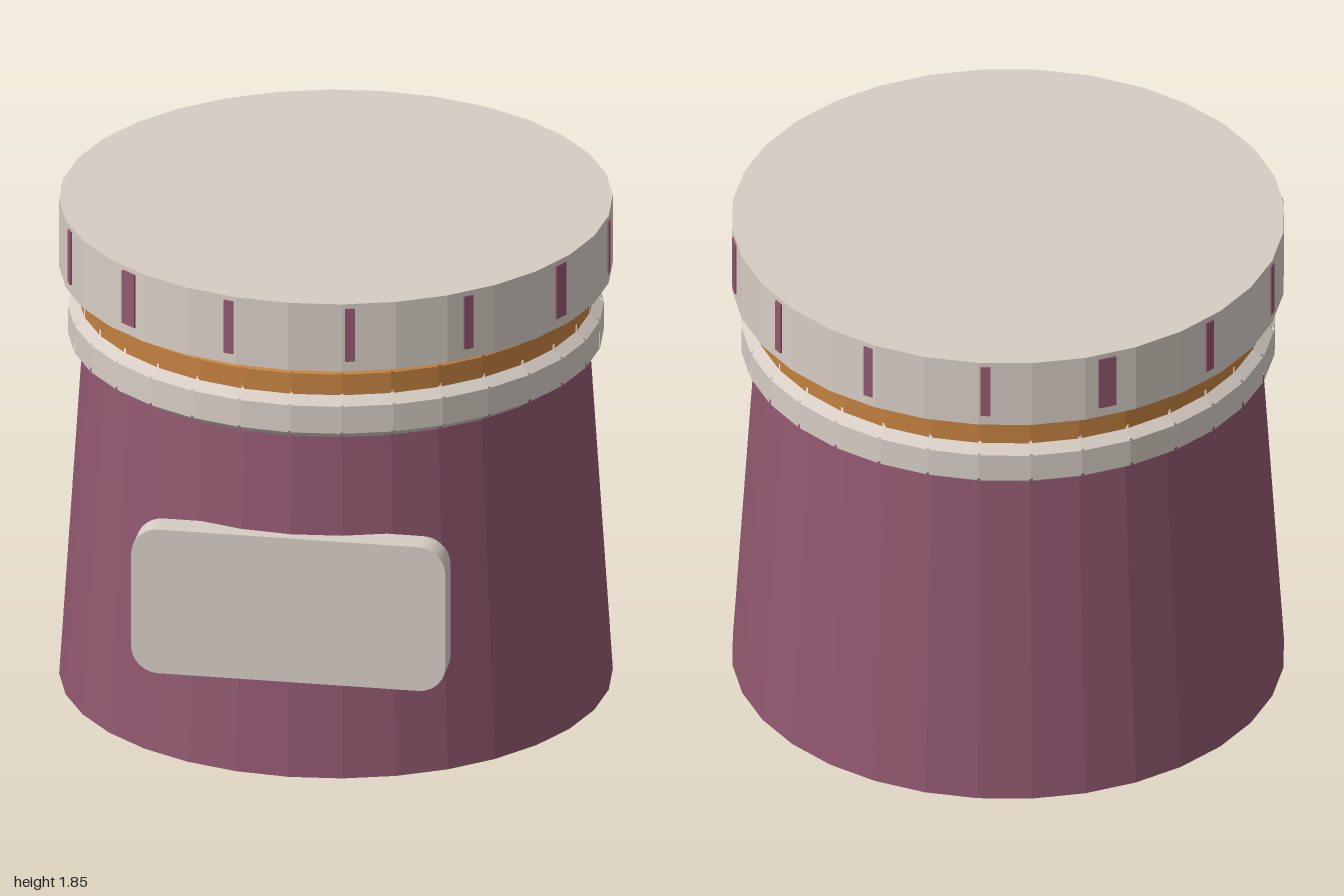
import * as THREE from 'three';
import { mergeGeometries } from 'three/addons/utils/BufferGeometryUtils.js';

const SIDES = 32;
const STEP = (Math.PI * 2) / SIDES;

export function createModel() {
  const group = new THREE.Group();
  const material = (name, color) => new THREE.MeshStandardMaterial({ name, color, flatShading: true });
  const plum = material('plum', 0x91586f);
  const stone = material('stone', 0xd6ccc4);
  const amber = material('amber', 0xc38140);

  const add = (name, geometry, mat, x = 0, y = 0, z = 0) => {
    const mesh = new THREE.Mesh(geometry, mat);
    mesh.name = name;
    mesh.position.set(x, y, z);
    group.add(mesh);
    return mesh;
  };

  // Tapered jar and the neck hidden inside the rings
  add('jarBody', new THREE.CylinderGeometry(0.91, 0.995, 1.31, SIDES), plum, 0, 0.655, 0);
  add('neck', new THREE.CylinderGeometry(0.86, 0.86, 0.25, SIDES), plum, 0, 1.435, 0);

  // Ring of chamfered blocks with narrow grooves, over a slightly smaller core
  const blockRing = (name, profile, mat) => {
    const points = (inset) => profile.map(([r, y]) => new THREE.Vector2(r - inset, y));
    const parts = [new THREE.LatheGeometry(points(0.012), SIDES)];
    for (let i = 0; i < SIDES; i++) {
      parts.push(new THREE.LatheGeometry(points(0), 1, (i + 0.03) * STEP, STEP * 0.94));
    }
    add(name, mergeGeometries(parts), mat);
  };
  blockRing('collarRing', [[0.85, 1.3], [0.915, 1.297], [0.963, 1.33], [0.963, 1.435], [0.915, 1.472], [0.85, 1.472]], stone);
  blockRing('sealRing', [[0.85, 1.465], [0.926, 1.465], [0.926, 1.545], [0.885, 1.574], [0.85, 1.574]], amber);

  // Flat lid
  add('lid', new THREE.CylinderGeometry(0.995, 0.995, 0.262, SIDES), stone, 0, 1.717, 0);

  // Grip marks round the lid, wider and narrower in turn
  const widths = [0.032, 0.06, 0.036, 0.036, 0.036, 0.068, 0.036, 0.032];
  for (let k = 0; k < 14; k++) {
    const a = (k / 14) * Math.PI * 2;
    const w = widths[Math.min(k, 14 - k)];
    const mark = add('gripMark', new THREE.BoxGeometry(0.03, 0.205, w), plum,
      Math.cos(a) * 0.983, 1.728, Math.sin(a) * 0.983);
    mark.rotation.y = -a;
  }

  // Rounded label plate on the front
  const w = 0.573, h = 0.28, r = 0.1;
  const outline = new THREE.Shape();
  outline.absarc(w - r, h - r, r, 0, Math.PI / 2);
  outline.absarc(r - w, h - r, r, Math.PI / 2, Math.PI);
  outline.absarc(r - w, r - h, r, Math.PI, Math.PI * 1.5);
  outline.absarc(w - r, r - h, r, Math.PI * 1.5, Math.PI * 2);
  add('labelPlate', new THREE.ExtrudeGeometry(outline, { depth: 0.105, bevelEnabled: false, curveSegments: 6 }),
    stone, -0.003, 0.641, 0.87);

  return group;
}
